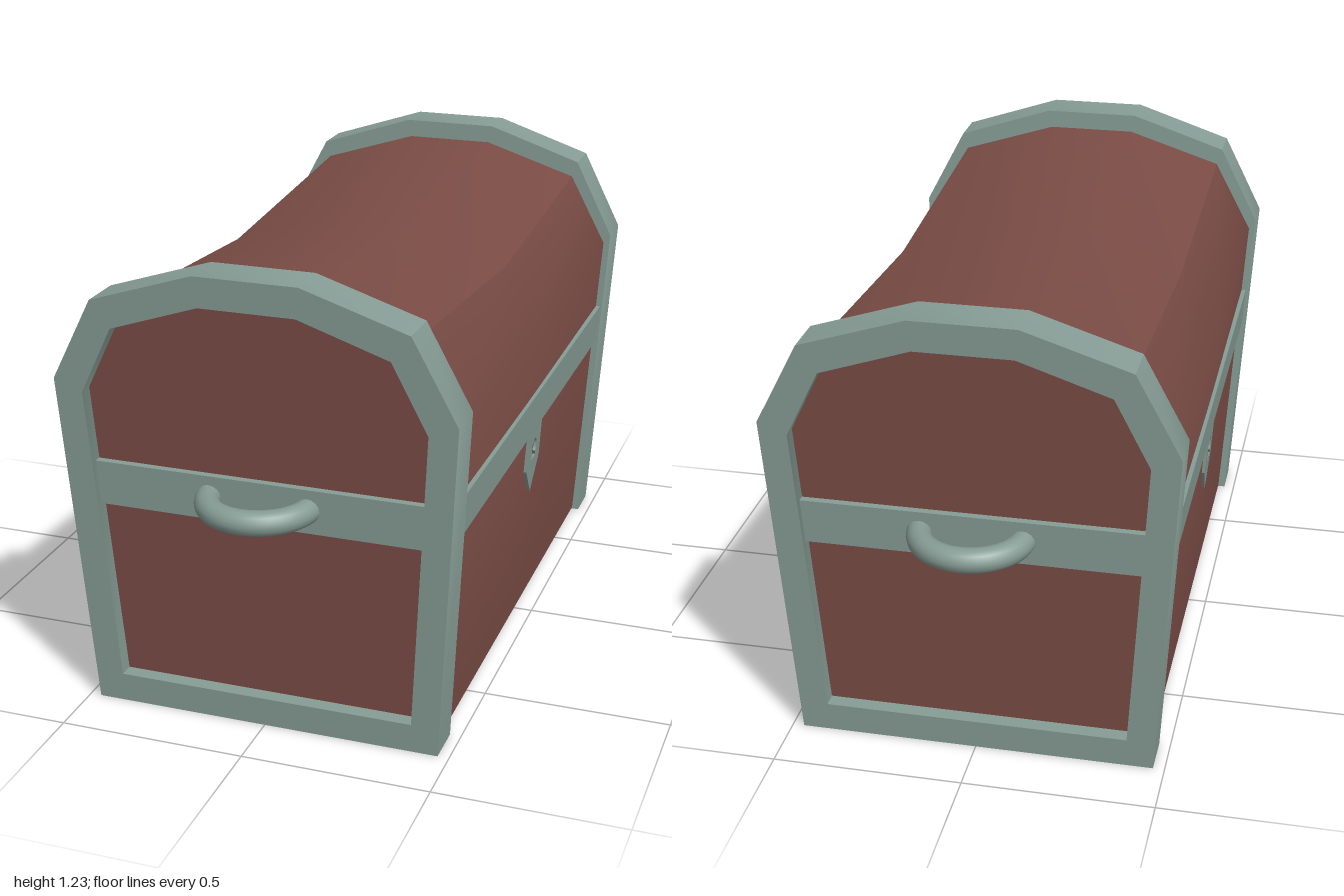
import * as THREE from 'three';
import { toCreasedNormals } from 'three/addons/utils/BufferGeometryUtils.js';

const wood = new THREE.MeshStandardMaterial({ color: 0x7a4c45 });
wood.name = 'redBrownWood';
const metal = new THREE.MeshStandardMaterial({ color: 0x869c95 });
metal.name = 'greyGreenMetal';

// The chest flares upwards: wall positions as functions of height
const endZ = y => 0.84 + 0.053 * y;      // outer face of the end frames
const innerZ = y => 0.73 + 0.045 * y;    // inner face of the end frames
const panelZ = y => endZ(y) - 0.04;      // recessed end panels
const sideX = y => 0.45 + 0.061 * y;     // long side walls

// Symmetric outline from its right half, listed bottom to top
function outline(half, Type = THREE.Shape) {
  const pts = half.map(([x, y]) => new THREE.Vector2(x, y));
  const left = half.map(([x, y]) => new THREE.Vector2(-x, y)).reverse();
  return new Type([...pts, ...left]);
}

// Move every vertex by a rule, then rebuild the normals
function warp(geo, rule) {
  const p = geo.attributes.position;
  const v = new THREE.Vector3();
  for (let i = 0; i < p.count; i++) {
    v.fromBufferAttribute(p, i);
    rule(v);
    p.setXYZ(i, v.x, v.y, v.z);
  }
  return toCreasedNormals(geo, 0.6);
}

function extrude(shape, depth, steps = 1) {
  return new THREE.ExtrudeGeometry(shape, { depth, steps, bevelEnabled: false, curveSegments: 8 });
}

function add(parent, name, geo, mat) {
  const mesh = new THREE.Mesh(geo, mat);
  mesh.name = name;
  parent.add(mesh);
  return mesh;
}

export function createModel() {
  const chest = new THREE.Group();
  chest.name = 'chest';

  // Wooden body with a lid that sags towards the middle
  const bodyShape = outline([[0.45, 0.005], [0.505, 0.9], [0.395, 1.1], [0.125, 1.185]]);
  add(chest, 'body', warp(extrude(bodyShape, 2, 2), v => {
    const t = v.z - 1;
    v.z = t * panelZ(v.y);
    if (v.y > 0.8) v.y -= 0.061 * (1 - Math.abs(t));
  }), wood);

  // End fittings: frame, strap and handle
  const frameShape = outline([[0.47, 0], [0.525, 0.92], [0.41, 1.14], [0.135, 1.23]]);
  frameShape.holes.push(outline([[0.4, 0.08], [0.45, 0.89], [0.36, 1.07], [0.125, 1.15]], THREE.Path));
  const frameGeo = warp(extrude(frameShape, 1), v => {
    v.z = v.z > 0.5 ? endZ(v.y) : innerZ(v.y);
  });
  const endStrapGeo = warp(extrude(outline([[0.46, 0.575], [0.46, 0.695]]), 1), v => {
    v.z = endZ(v.y) - (v.z > 0.5 ? 0.02 : 0.07);
  });
  const handleGeo = new THREE.TorusGeometry(0.1325, 0.0325, 16, 32, Math.PI);
  handleGeo.rotateX(Math.PI / 2).translate(0, 0.638, 0.835);

  // Side fittings: strap and lock plate with a keyhole
  const onSide = geo => warp(geo.rotateY(Math.PI / 2), v => { v.x += sideX(v.y) - 0.005; });
  const sideStrapGeo = onSide(extrude(outline([[0.78, 0.58], [0.78, 0.69]]), 0.018));
  const lockShape = new THREE.Shape([[0, 0.38], [0.07, 0.465], [0.07, 0.59], [-0.07, 0.59], [-0.07, 0.465]]
    .map(([x, y]) => new THREE.Vector2(x, y)));
  const keyhole = new THREE.Path();
  keyhole.moveTo(0.025, 0.484);
  keyhole.lineTo(0.012, 0.5);
  keyhole.absarc(0, 0.517, 0.025, -0.9, Math.PI + 0.9, false);
  keyhole.lineTo(-0.025, 0.484);
  keyhole.closePath();
  lockShape.holes.push(keyhole);
  const lockGeo = onSide(extrude(lockShape, 0.015));

  // Repeat the fittings on the opposite end and side
  for (const [where, turn] of [['front', 0], ['back', Math.PI]]) {
    const end = new THREE.Group();
    end.name = where + 'End';
    add(end, 'endFrame', frameGeo, metal);
    add(end, 'endStrap', endStrapGeo, metal);
    add(end, 'handle', handleGeo, metal);
    end.rotation.y = turn;
    chest.add(end);
  }
  for (const [where, turn] of [['left', 0], ['right', Math.PI]]) {
    const side = new THREE.Group();
    side.name = where + 'Side';
    add(side, 'sideStrap', sideStrapGeo, metal);
    add(side, 'lockPlate', lockGeo, metal);
    side.rotation.y = turn;
    chest.add(side);
  }
  return chest;
}
